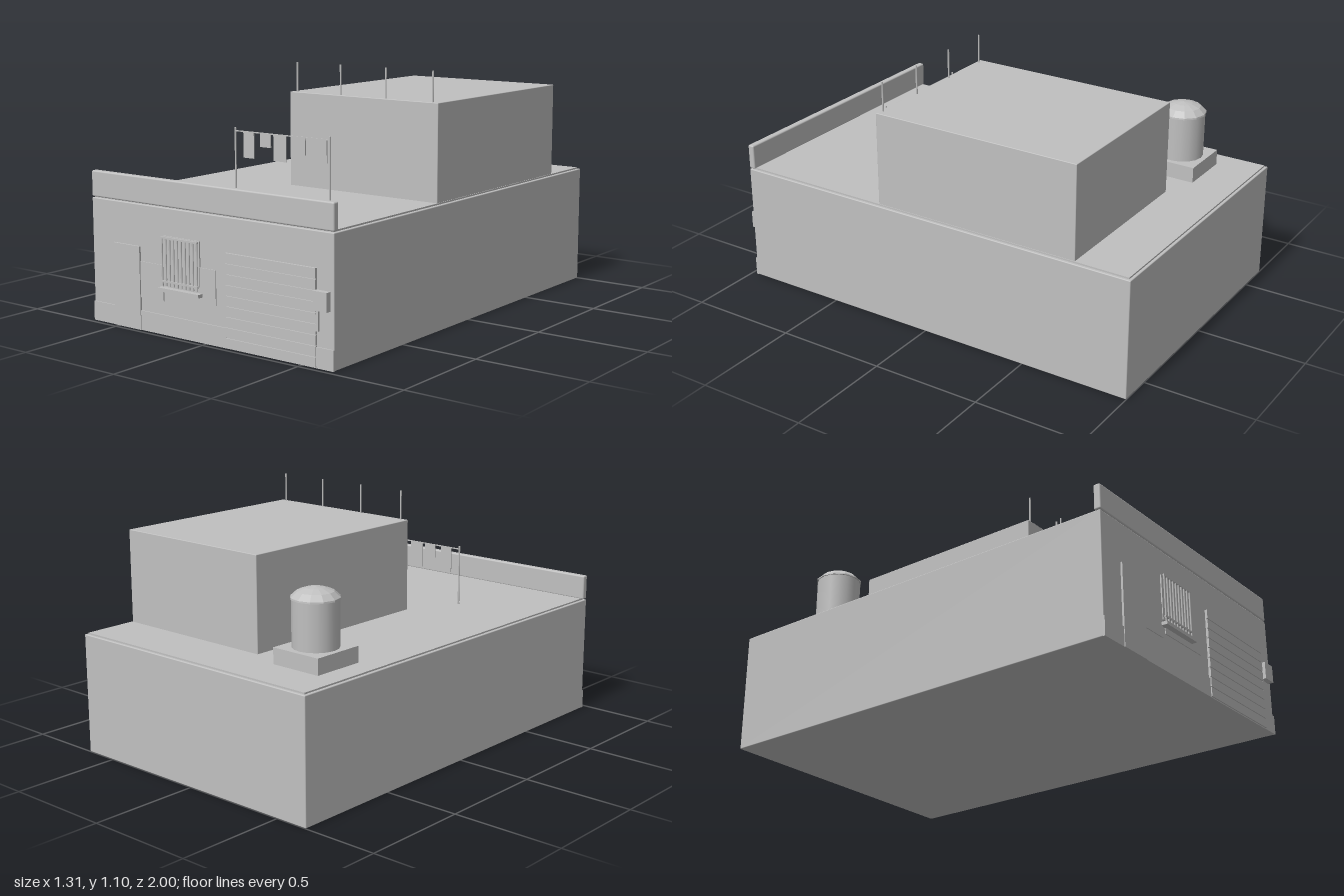
import * as THREE from 'three';
import { RoundedBoxGeometry } from 'three/addons/geometries/RoundedBoxGeometry.js';

export function createModel() {
  const model = new THREE.Group();
  const concrete = new THREE.MeshStandardMaterial({ color: 0xc0c0c0 });
  concrete.name = 'concrete grey';
  const add = (name, geometry, parent = model) => {
    const mesh = new THREE.Mesh(geometry, concrete);
    mesh.name = name;
    parent.add(mesh);
    return mesh;
  };
  const group = (name) => {
    const g = new THREE.Group();
    g.name = name;
    model.add(g);
    return g;
  };
  // box given by its limits on each axis
  const box = (name, x0, x1, y0, y1, z0, z1, parent, radius = 0) => {
    const size = [x1 - x0, y1 - y0, z1 - z0];
    const geo = radius ? new RoundedBoxGeometry(...size, 2, radius) : new THREE.BoxGeometry(...size);
    const mesh = add(name, geo, parent);
    mesh.position.set((x0 + x1) / 2, (y0 + y1) / 2, (z0 + z1) / 2);
    return mesh;
  };
  const rod = (name, x, y0, y1, z, r, parent) => {
    const mesh = add(name, new THREE.CylinderGeometry(r, r, y1 - y0, 8), parent);
    mesh.position.set(x, (y0 + y1) / 2, z);
    return mesh;
  };

  // building, roof and upper storey
  box('mainBody', -0.655, 0.655, 0, 0.542, -1, 0.97, model, 0.004);
  box('roofSlab', -0.643, 0.643, 0.53, 0.549, -0.988, 0.958);
  box('frontParapet', -0.655, 0.655, 0.546, 0.66, 0.94, 0.971, model, 0.007);
  box('upperStorey', -0.147, 0.64, 0.545, 0.97, -0.74, 0.24, model, 0.003);

  // steel rods along the front edge of the upper storey
  const rods = group('rebarRods');
  for (let i = 0; i < 4; i++) rod('rebar', -0.115 + i * 0.24, 0.96, 1.102, 0.226, 0.004, rods);

  // water tank on its plinth
  const tank = group('waterTank');
  tank.position.set(-0.415, 0, -0.675);
  box('tankPlinth', -0.122, 0.122, 0.545, 0.62, -0.122, 0.122, tank);
  const side = add('tankBody', new THREE.CylinderGeometry(0.099, 0.099, 0.205, 16), tank);
  side.position.y = 0.7225;
  const lidProfile = [[0, 0.822], [0.105, 0.822], [0.104, 0.829], [0.078, 0.853], [0.04, 0.866], [0, 0.872]];
  const lid = new THREE.LatheGeometry(lidProfile.map(([x, y]) => new THREE.Vector2(x, y)), 12).toNonIndexed();
  lid.computeVertexNormals();
  add('tankLid', lid, tank);

  // washing line
  const line = group('washingLine');
  for (const x of [-0.262, 0.26]) {
    rod('linePost', x, 0.545, 0.825, 0.48, 0.004, line);
    rod('postFoot', x, 0.545, 0.556, 0.48, 0.006, line);
  }
  box('lineCord', -0.262, 0.26, 0.808, 0.813, 0.478, 0.482, line);
  const clothes = [[-0.215, -0.155, 0.695], [-0.12, -0.06, 0.75], [-0.045, 0.025, 0.695], [0.06, 0.13, 0.735], [0.15, 0.245, 0.71]];
  for (const [x0, x1, y0] of clothes) box('cloth', x0, x1, y0, 0.81, 0.478, 0.482, line);

  // thin cladding on the front wall
  const cladding = group('frontCladding');
  box('plinthLeft', -0.655, -0.525, 0, 0.085, 0.965, 0.976, cladding);
  box('frontDoor', -0.525, -0.37, 0, 0.362, 0.965, 0.979, cladding);
  box('plinthMiddle', -0.37, 0.112, 0, 0.085, 0.965, 0.976, cladding);
  box('plinthRight', 0.572, 0.655, 0, 0.085, 0.965, 0.976, cladding);
  box('wallPatchLeft', -0.37, -0.238, 0.142, 0.298, 0.965, 0.974, cladding);
  box('wallPatchRight', -0.218, 0.054, 0.167, 0.316, 0.965, 0.974, cladding);

  // roller shutter with overlapping slats
  const shutter = group('rollerShutter');
  box('shutterBacking', 0.112, 0.572, 0, 0.397, 0.965, 0.975, shutter);
  const slats = 9, pitch = 0.397 / slats;
  for (let i = 0; i < slats; i++) {
    box('slat', 0.112, 0.572, i * pitch + 0.004, (i + 1) * pitch, 0.97, 0.981, shutter);
  }

  // barred window and its sill
  const win = group('barredWindow');
  box('windowPane', -0.235, -0.031, 0.222, 0.425, 0.965, 0.976, win);
  for (const y of [0.235, 0.42]) box('grilleRail', -0.235, -0.031, y - 0.004, y + 0.004, 0.982, 0.99, win);
  for (let i = 0; i < 10; i++) rod('grilleBar', -0.23 + i * 0.0216, 0.216, 0.422, 0.986, 0.0035, win);
  box('windowSill', -0.246, -0.018, 0.193, 0.208, 0.965, 1, win);

  // meter box and its conduit
  const meter = group('utilityMeter');
  box('meterBox', 0.572, 0.638, 0.234, 0.312, 0.965, 0.995, meter);
  box('conduit', 0.572, 0.584, 0.148, 0.236, 0.965, 0.979, meter);

  return model;
}
